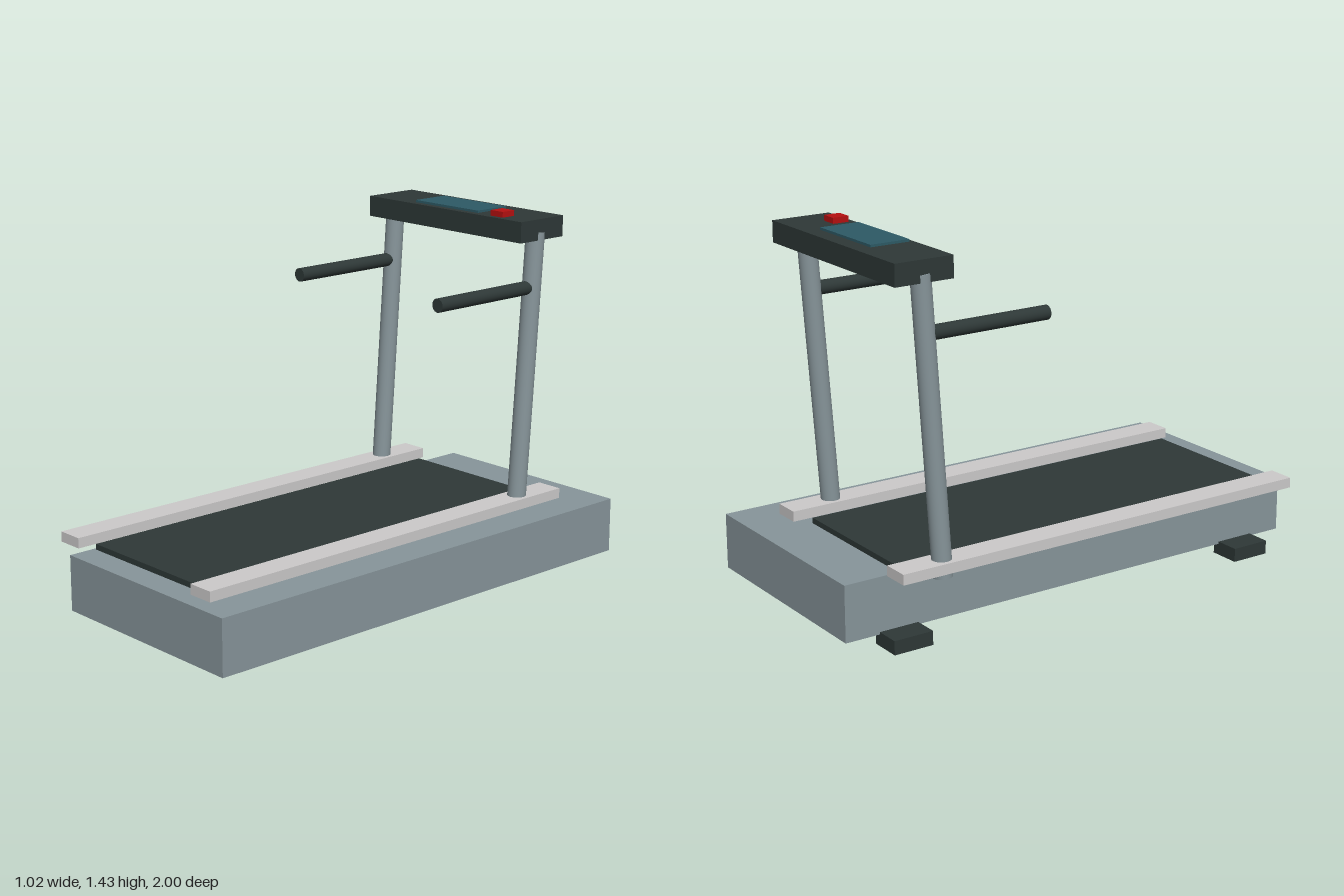
import * as THREE from 'three';

const mat = (name, color) => {
  const m = new THREE.MeshStandardMaterial({ color });
  m.name = name;
  return m;
};

export function createModel() {
  const steel = mat('steel grey', 0x87959a);
  const dark = mat('charcoal', 0x2e3837);
  const silver = mat('light silver', 0xcccaca);
  const glass = mat('screen teal', 0x2d5a66);
  const red = mat('red', 0xb51010);

  const group = new THREE.Group();
  group.name = 'treadmill';

  const add = (name, geometry, material) => {
    const mesh = new THREE.Mesh(geometry, material);
    mesh.name = name;
    group.add(mesh);
    return mesh;
  };

  // Box given by its extents along each axis
  const box = (name, material, [x0, x1], [y0, y1], [z0, z1]) => {
    const mesh = add(name, new THREE.BoxGeometry(x1 - x0, y1 - y0, z1 - z0), material);
    mesh.position.set((x0 + x1) / 2, (y0 + y1) / 2, (z0 + z1) / 2);
  };

  // Round bar between two points
  const bar = (name, material, radius, from, to) => {
    const a = new THREE.Vector3(...from), b = new THREE.Vector3(...to);
    const dir = b.clone().sub(a);
    const mesh = add(name, new THREE.CylinderGeometry(radius, radius, dir.length(), 32), material);
    mesh.position.copy(a).add(b).multiplyScalar(0.5);
    mesh.quaternion.setFromUnitVectors(new THREE.Vector3(0, 1, 0), dir.normalize());
  };

  // Deck and running belt
  box('deck', steel, [-0.378, 0.506], [0.045, 0.262], [-1, 1]);
  box('belt', dark, [-0.365, 0.228], [0.25, 0.284], [-0.78, 0.892]);

  // Paired side rails, leaning posts and handles
  for (const [side, x] of [['right', -0.456], ['left', 0.32]]) {
    box(side + 'Rail', silver, [x - 0.054, x + 0.054], [0.269, 0.309], [-0.84, 0.945]);
    bar(side + 'Post', steel, 0.037, [x, 0.243, -0.644], [x, 1.353, -0.721]);
    bar(side + 'Handle', dark, 0.027, [x, 1.138, -0.7], [x, 1.138, -0.195]);
  }

  // Four feet
  for (const x of [-0.413, 0.277])
    for (const z of [-0.78, 0.78])
      box('foot', dark, [x - 0.063, x + 0.063], [0, 0.054], [z - 0.08, z + 0.08]);

  // Console with screen and stop button
  box('console', dark, [-0.487, 0.352], [1.324, 1.406], [-0.841, -0.606]);
  box('screen', glass, [-0.24, 0.103], [1.408, 1.417], [-0.784, -0.626]);
  box('stopButton', red, [0.17, 0.234], [1.4, 1.428], [-0.692, -0.628]);

  return group;
}
